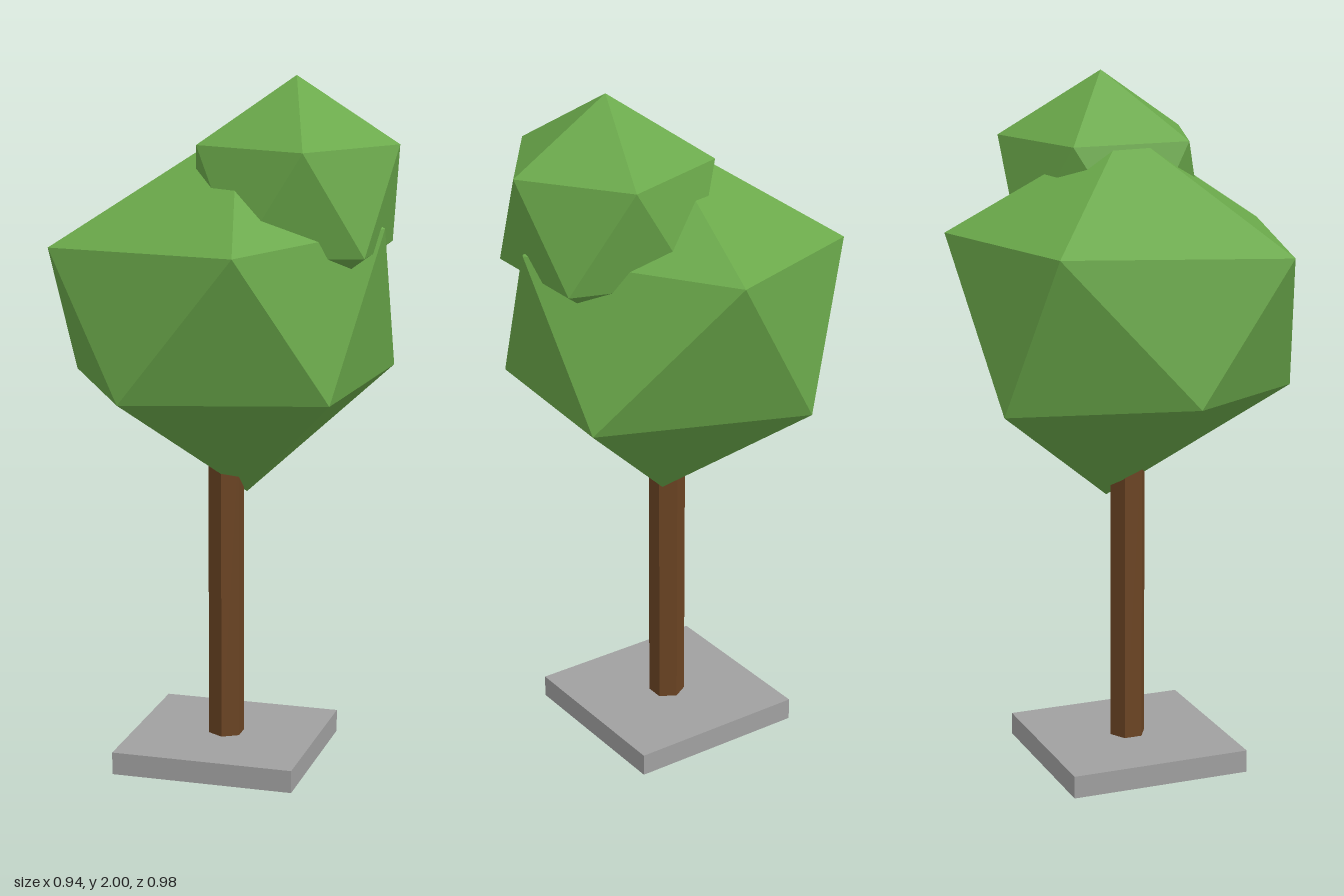
import * as THREE from 'three';

const leaf = new THREE.MeshStandardMaterial({ color: 0x6aa84a });
leaf.name = 'leafGreen';
const bark = new THREE.MeshStandardMaterial({ color: 0x6b4423 });
bark.name = 'barkBrown';
const stone = new THREE.MeshStandardMaterial({ color: 0xa0a0a0 });
stone.name = 'stoneGrey';
for (const m of [leaf, bark, stone]) m.flatShading = true;

// Twenty-sided crown: top point, two staggered rings of five, bottom point.
function crownGeometry(top, upper, lower, bottom) {
  const p = [];
  for (let i = 0; i < 5; i++) {
    const j = (i + 1) % 5;
    p.push(...top, ...upper[j], ...upper[i]);
    p.push(...upper[i], ...upper[j], ...lower[i]);
    p.push(...lower[i], ...upper[j], ...lower[j]);
    p.push(...bottom, ...lower[i], ...lower[j]);
  }
  const g = new THREE.BufferGeometry();
  g.setAttribute('position', new THREE.Float32BufferAttribute(p, 3));
  g.computeVertexNormals();
  return g;
}

// Regular ring of five points around a centre.
function ring(cx, y, cz, r, turn) {
  return Array.from({ length: 5 }, (_, i) => {
    const a = (i + turn) * Math.PI * 0.4;
    return [cx + r * Math.cos(a), y, cz + r * Math.sin(a)];
  });
}

export function createModel() {
  const tree = new THREE.Group();
  tree.name = 'tree';
  const add = (name, geometry, material, x = 0, y = 0, z = 0) => {
    const mesh = new THREE.Mesh(geometry, material);
    mesh.name = name;
    mesh.position.set(x, y, z);
    tree.add(mesh);
  };

  // Square slab and six-sided trunk
  add('base', new THREE.BoxGeometry(0.535, 0.066, 0.535), stone, -0.032, 0.033, 0.017);
  add('trunk', new THREE.CylinderGeometry(0.053, 0.053, 0.95, 6), bark, -0.034, 0.475, 0.017);

  // Large, slightly uneven crown
  add('mainCrown', crownGeometry(
    [0, 1.855, 0.018],
    [[0.43, 1.585, 0.035], [0.12, 1.555, 0.487], [-0.45, 1.54, 0.34], [-0.395, 1.57, -0.32], [0.07, 1.58, -0.49]],
    [[0.34, 1.13, 0.293], [-0.22, 1.13, 0.44], [-0.47, 1.145, 0.06], [-0.22, 1.11, -0.42], [0.398, 1.145, -0.25]],
    [0.015, 0.79, -0.03],
  ), leaf);

  // Small regular crown set into the upper left
  const [x, y, z, r] = [0.17, 1.67, 0.015, 0.33];
  const h = r / Math.sqrt(5);
  add('topCrown', crownGeometry(
    [x, y + r, z],
    ring(x, y + h, z, 2 * h, 0),
    ring(x, y - h, z, 2 * h, 0.5),
    [x, y - r, z],
  ), leaf);
  return tree;
}
